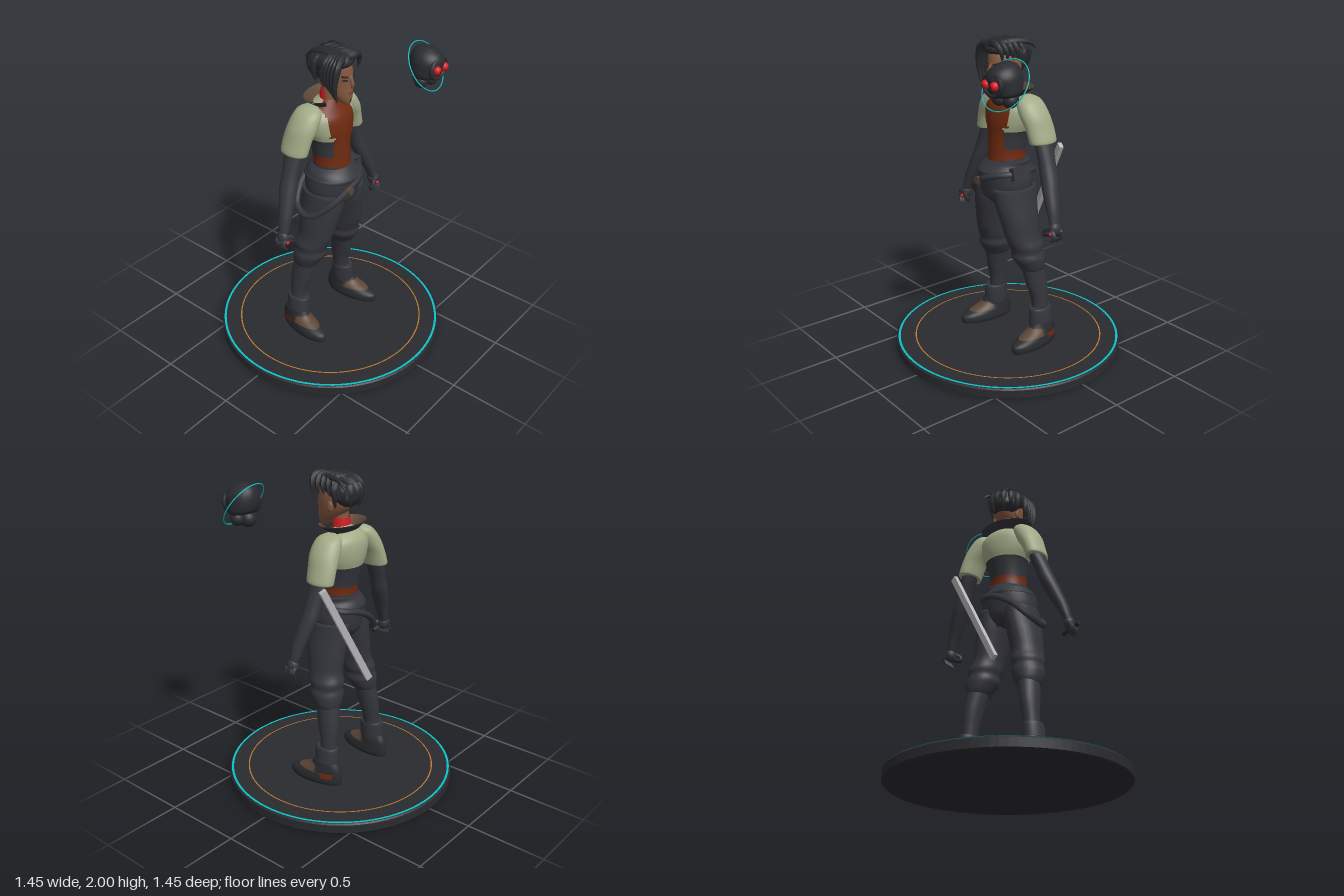
import * as THREE from 'three';

const mat = (name, color) => Object.assign(new THREE.MeshStandardMaterial({ color, side: THREE.DoubleSide }), { name });
const M = {
  cloth: mat('charcoal cloth', 0x35363d), black: mat('black', 0x2a2b2f), rust: mat('rust brown', 0x6e2a10),
  skin: mat('skin', 0x85583f), sage: mat('sage green', 0xa3ab88), tan: mat('dull tan', 0x5c4636),
  steel: mat('pale steel', 0xb8b8ba), red: mat('red', 0xd81c24), cyan: mat('cyan', 0x08c4c8), orange: mat('orange', 0xc07a2c),
};
const V = (x, y, z) => new THREE.Vector3(x, y, z);

function add(parent, name, geo, material, pos = [0, 0, 0], scale = [1, 1, 1]) {
  const m = new THREE.Mesh(geo, material);
  m.name = name;
  m.position.set(...pos);
  m.scale.set(...scale);
  parent.add(m);
  return m;
}

const spline = (a, b, c, d, t) => 0.5 * (2 * b + (c - a) * t + (2 * a - 5 * b + 4 * c - d) * t * t + (3 * b - a - 3 * c + d) * t * t * t);

// Smooth body through horizontal ovals [y, x, z, rx, rz], listed from bottom to top.
// pick(x, y, z, angle) returns the material number of a face.
function loft(sec, { n = 28, sub = 4, pick = () => 0 } = {}) {
  const rows = [], pos = [], lists = [];
  const at = i => sec[Math.min(sec.length - 1, Math.max(0, i))];
  for (let i = 0; i < sec.length - 1; i++)
    for (let k = 0; k < sub; k++)
      rows.push(sec[0].map((_, c) => spline(at(i - 1)[c], at(i)[c], at(i + 1)[c], at(i + 2)[c], k / sub)));
  rows.push(at(sec.length));
  for (const [y, x, z, rx, rz] of rows)
    for (let j = 0; j < n; j++) {
      const a = j / n * Math.PI * 2;
      pos.push(x + rx * Math.sin(a), y, z + rz * Math.cos(a));
    }
  const last = rows.length - 1, c0 = pos.length / 3;
  for (const r of [rows[0], rows[last]]) pos.push(r[1], r[0], r[2]);
  const face = (a, ...idx) => {
    const p = [0, 1, 2].map(c => idx.reduce((s, v) => s + pos[v * 3 + c], 0) / idx.length);
    (lists[pick(...p, a)] ??= []).push(...idx);
  };
  for (let j = 0; j < n; j++) {
    const k = (j + 1) % n, a = (j + 0.5) / n * Math.PI * 2;
    for (let i = 0; i < last; i++) face(a, i * n + j, i * n + k, i * n + n + k, i * n + j, i * n + n + k, i * n + n + j);
    face(a, c0, k, j);
    face(a, c0 + 1, last * n + j, last * n + k);
  }
  const g = new THREE.BufferGeometry();
  g.setAttribute('position', new THREE.Float32BufferAttribute(pos, 3));
  const all = [];
  lists.forEach((l, i) => { g.addGroup(all.length, l.length, i); all.push(...l); });
  g.setIndex(all);
  g.computeVertexNormals();
  return g;
}

// Tube along points whose radius narrows to a tip
function lock(points, r, power = 0.6, sides = 6) {
  const curve = new THREE.CatmullRomCurve3(points.map(p => V(...p))), steps = 10;
  const g = new THREE.TubeGeometry(curve, steps, r, sides), p = g.attributes.position;
  for (let i = 0; i < p.count; i++) {
    const t = Math.floor(i / (sides + 1)) / steps, c = curve.getPointAt(t);
    const v = V(0, 0, 0).fromBufferAttribute(p, i).sub(c).multiplyScalar(Math.pow(1 - t, power)).add(c);
    p.setXYZ(i, v.x, v.y, v.z);
  }
  g.computeVertexNormals();
  return g;
}

// Straight bar between two points
function bar(parent, name, geo, material, a, b) {
  const m = add(parent, name, geo, material), d = V(...b).sub(V(...a));
  m.position.copy(V(...a)).addScaledVector(d, 0.5);
  m.quaternion.setFromUnitVectors(V(0, 1, 0), d.normalize());
  return m;
}

const sphere = r => new THREE.SphereGeometry(r, 20, 14);

function buildBase(g) {
  const profile = [[0, 0], [0.715, 0], [0.724, 0.008], [0.724, 0.06], [0.716, 0.068], [0, 0.068]].map(p => new THREE.Vector2(...p));
  const disc = new THREE.LatheGeometry(profile, 96).toNonIndexed();
  disc.computeVertexNormals();
  add(g, 'baseDisc', disc, M.black);
  for (const [name, a, b, m] of [['outerRing', 0.7, 0.714, M.cyan], ['innerRing', 0.596, 0.604, M.orange]])
    add(g, name, new THREE.RingGeometry(a, b, 96).rotateX(-Math.PI / 2), m, [0, 0.071, 0]);
}

function buildLimbs(g, s) {
  const side = s > 0 ? 'left' : 'right';
  const flip = sec => sec.map(([y, x, ...r]) => [y, s * x, ...r]);
  // Trouser leg with a baggy knee, then a slim shin
  add(g, side + 'Trouser', loft(flip([[0.57, 0.18, -0.05, 0.07, 0.08], [0.6, 0.175, -0.045, 0.085, 0.092], [0.65, 0.165, -0.03, 0.1, 0.108],
    [0.69, 0.16, -0.025, 0.093, 0.104], [0.73, 0.155, -0.02, 0.1, 0.113], [0.79, 0.142, 0, 0.093, 0.116],
    [0.9, 0.122, 0.01, 0.098, 0.131], [1, 0.1, 0.018, 0.1, 0.146], [1.1, 0.085, 0.02, 0.1, 0.15]])), M.cloth);
  add(g, side + 'Shin', loft(flip([[0.2, 0.226, -0.085, 0.046, 0.055], [0.35, 0.213, -0.085, 0.05, 0.056],
    [0.46, 0.2, -0.072, 0.058, 0.072], [0.6, 0.178, -0.05, 0.068, 0.078]])), M.cloth);
  add(g, side + 'BootCuff', loft(flip([[0.17, 0.234, -0.08, 0.058, 0.078], [0.2, 0.232, -0.08, 0.062, 0.08],
    [0.29, 0.225, -0.08, 0.06, 0.079], [0.31, 0.224, -0.08, 0.055, 0.072]])), M.cloth);
  // Shoe with a tan instep and a rust patch on the outer heel
  const shoe = add(g, side + 'Shoe', loft([[0.068, 0, 0.065, 0.066, 0.18], [0.09, 0, 0.065, 0.074, 0.187], [0.12, 0, 0.06, 0.072, 0.183],
    [0.15, 0, 0.025, 0.066, 0.145], [0.18, 0, -0.005, 0.06, 0.107], [0.22, 0, -0.01, 0.054, 0.08]], {
    n: 36, pick: (x, y, z) => y > 0.145 && y < 0.195 && z > 0.04 ? 1 : y > 0.11 && y < 0.15 && s * x > 0.02 && z < 0 && z > -0.08 ? 2 : 0,
  }), [M.black, M.tan, M.rust], [s * 0.24, 0, -0.075]);
  shoe.rotation.y = s * 0.12;
  // Sleeve and gloved arm
  add(g, side + 'Sleeve', loft(flip([[1.395, 0.252, -0.06, 0.056, 0.088], [1.41, 0.253, -0.06, 0.062, 0.093], [1.48, 0.23, -0.055, 0.065, 0.096],
    [1.55, 0.196, -0.045, 0.077, 0.098], [1.61, 0.162, -0.04, 0.075, 0.09], [1.645, 0.145, -0.04, 0.055, 0.07], [1.665, 0.13, -0.04, 0.02, 0.03]])), M.sage);
  add(g, side + 'Arm', loft(flip([[0.94, 0.432, -0.002, 0.026, 0.032], [0.98, 0.42, -0.008, 0.031, 0.036], [1.04, 0.398, -0.015, 0.04, 0.042],
    [1.12, 0.364, -0.03, 0.047, 0.05], [1.2, 0.331, -0.045, 0.052, 0.055], [1.28, 0.302, -0.053, 0.048, 0.054],
    [1.38, 0.265, -0.06, 0.047, 0.06], [1.46, 0.235, -0.06, 0.045, 0.06]])), M.cloth);
  // Hand: palm, four fingers and thumb around a short grip
  add(g, side + 'Palm', sphere(1), M.cloth, [s * 0.438, 0.918, 0], [0.033, 0.045, 0.04]);
  for (let i = 0; i < 4; i++) {
    const z = -0.03 + i * 0.019;
    add(g, side + 'Finger', lock([[s * 0.445, 0.915, z], [s * 0.468, 0.885, z], [s * 0.458, 0.86, z + 0.005], [s * 0.44, 0.842, z + 0.008]], 0.014, 0.3), M.cloth);
  }
  add(g, side + 'Thumb', lock([[s * 0.43, 0.93, 0.02], [s * 0.4, 0.915, 0.035], [s * 0.38, 0.885, 0.04]], 0.015, 0.3), M.cloth);
  bar(g, side + 'Grip', new THREE.CylinderGeometry(0.014, 0.014, 0.135, 10), M.black, [s * 0.375, 0.875, 0.03], [s * 0.5, 0.905, 0.0]);
  add(g, side + 'GripLight', sphere(0.013), M.red, [s * 0.44, 0.895, 0.034]);
}

function buildTorso(g) {
  // Rust shirt showing between the open jacket fronts and around the waist
  const open = y => y > 1.48 ? 0.108 : y > 1.34 ? 0.08 : 0.1 * Math.max(0, (y - 1.2) / 0.1);
  add(g, 'torso', loft([[1.2, 0, 0.01, 0.125, 0.12], [1.25, 0, 0.012, 0.118, 0.117], [1.32, 0, 0.008, 0.115, 0.115], [1.42, 0, -0.005, 0.13, 0.125],
    [1.5, 0, -0.014, 0.163, 0.135], [1.58, 0, -0.022, 0.175, 0.13], [1.63, 0, -0.03, 0.14, 0.105], [1.67, 0, -0.02, 0.075, 0.068], [1.69, 0, -0.015, 0.045, 0.05]], {
    n: 72, sub: 6, pick: (x, y, z) => z > 0 && Math.abs(x) < open(y) ? 0 : y > 1.45 ? 1 : y > 1.315 ? 2 : y > 1.27 ? 0 : 2,
  }), [M.rust, M.sage, M.cloth]);
  add(g, 'hips', loft([[0.99, 0, 0.015, 0.08, 0.1], [1.04, 0, 0.02, 0.15, 0.145], [1.1, 0, 0.02, 0.178, 0.158], [1.16, 0, 0.02, 0.178, 0.166],
    [1.2, 0, 0.02, 0.17, 0.166], [1.235, 0, 0.015, 0.15, 0.14], [1.26, 0.02, 0.008, 0.133, 0.123]], { n: 36 }), M.cloth);
  // Belt, slung strap, buckle and hip pouch
  add(g, 'belt', new THREE.TorusGeometry(1, 0.08, 6, 40).rotateX(Math.PI / 2), M.cloth, [0, 1.19, 0.02], [0.165, 0.22, 0.16]);
  const path = new THREE.CatmullRomCurve3([[0.15, 1.2, 0.08], [0.06, 1.18, 0.175], [-0.06, 1.13, 0.18], [-0.17, 1.05, 0.13], [-0.235, 0.97, 0.02],
    [-0.21, 1.0, -0.09], [-0.12, 1.09, -0.14], [0, 1.16, -0.15], [0.12, 1.19, -0.1]].map(p => V(...p)), true);
  add(g, 'slungStrap', new THREE.TubeGeometry(path, 60, 0.021, 6, true), M.cloth);
  add(g, 'buckle', new THREE.CylinderGeometry(0.025, 0.025, 0.02, 12).rotateX(Math.PI / 2), M.tan, [-0.05, 1.135, 0.197]);
  add(g, 'hipPouch', new THREE.BoxGeometry(0.04, 0.08, 0.12), M.cloth, [0.16, 1.2, 0.04]).rotation.z = 0.2;
  // Flared collar, open at the front
  for (const [name, d, m] of [['collarOutside', 0, M.cloth], ['collarLining', -0.006, M.tan]]) {
    const profile = [[0.075, 1.63], [0.1, 1.65], [0.14, 1.68], [0.178, 1.705]].map(([r, y]) => new THREE.Vector2(r + d, y - d * 0.6));
    add(g, name, new THREE.LatheGeometry(profile, 24, 0.75, Math.PI * 2 - 1.5), m, [0, 0, -0.02], [1, 1, 0.66]);
  }
}

function buildHead(g) {
  add(g, 'neck', new THREE.CylinderGeometry(0.045, 0.05, 0.17, 20), M.skin, [0, 1.72, -0.005]);
  add(g, 'neckBand', new THREE.CylinderGeometry(0.054, 0.058, 0.07, 20, 1, true, Math.PI * 0.42, Math.PI * 1.16), M.red, [0, 1.7, -0.008]);
  add(g, 'face', loft([[1.67, 0.012, 0.108, 0.02, 0.022], [1.695, 0.012, 0.09, 0.042, 0.05], [1.74, 0.012, 0.06, 0.066, 0.083],
    [1.8, 0.012, 0.03, 0.08, 0.112], [1.86, 0.01, 0.018, 0.086, 0.124], [1.92, 0.005, 0.01, 0.08, 0.118], [1.96, 0, 0, 0.05, 0.08]]), M.skin);
  add(g, 'nose', lock([[0.012, 1.855, 0.132], [0.012, 1.825, 0.145], [0.012, 1.79, 0.155], [0.012, 1.783, 0.14]], 0.013, 0.15), M.skin);
  add(g, 'mouth', new THREE.BoxGeometry(0.036, 0.005, 0.006), M.rust, [0.012, 1.745, 0.141]);
  add(g, 'beard', new THREE.BoxGeometry(0.008, 0.03, 0.006), M.black, [0.012, 1.7, 0.138]);
  for (const s of [-1, 1]) {
    add(g, 'eye', new THREE.BoxGeometry(0.03, 0.01, 0.008), M.black, [0.012 + s * 0.038, 1.83, 0.129]).rotation.set(0, s * 0.4, s * 0.12);
    add(g, 'eyebrow', new THREE.BoxGeometry(0.042, 0.01, 0.009), M.black, [0.012 + s * 0.04, 1.853, 0.13]).rotation.set(0, s * 0.4, s * 0.25);
    add(g, 'ear', sphere(1), M.skin, [0.012 + s * 0.085, 1.81, 0.0], [0.012, 0.034, 0.022]);
  }
  add(g, 'hairCap', loft([[1.81, 0, -0.045, 0.06, 0.055], [1.85, 0, -0.04, 0.09, 0.088], [1.885, 0, -0.015, 0.098, 0.112],
    [1.92, -0.005, 0.012, 0.102, 0.137], [1.955, -0.005, 0.022, 0.09, 0.125], [1.985, 0, 0.025, 0.055, 0.085], [1.993, 0, 0.025, 0.02, 0.03]]), M.black);
  // Long fringe over one side of the face
  for (let i = 0; i < 5; i++)
    add(g, 'fringeLock', lock([[-0.01, 1.965, 0.1 - i * 0.015], [-0.085, 1.95, 0.13 - i * 0.02], [-0.115, 1.87, 0.13 - i * 0.025],
      [-0.115 + i * 0.004, 1.79, 0.125 - i * 0.02], [-0.085 - i * 0.006, 1.705 + i * 0.025, 0.125 - i * 0.02]], 0.03), M.black);
  // Short swept locks on the other side and the crown
  for (let i = 0; i < 5; i++) {
    const z = 0.12 - i * 0.04;
    add(g, 'sweptLock', lock([[0, 1.965, z], [0.06, 1.972, z + 0.02], [0.1, 1.93, z + 0.01], [0.1, 1.87, z]], 0.03), M.black);
    add(g, 'crownLock', lock([[-0.05 + i * 0.025, 1.96, 0.1], [-0.05 + i * 0.03, 1.975, 0.02], [-0.06 + i * 0.04, 1.965, -0.08], [-0.07 + i * 0.045, 1.92 + i % 2 * 0.03, -0.13]], 0.027), M.black);
  }
  // Ragged locks at the back
  for (let i = 0; i < 7; i++) {
    const a = (i - 3) * 0.42, x = Math.sin(a), z = -Math.cos(a);
    add(g, 'backLock', lock([[x * 0.06, 1.95, z * 0.07], [x * 0.1, 1.92, z * 0.12], [x * 0.105, 1.87, z * 0.13], [x * 0.09, 1.8 + i % 2 * 0.025, z * 0.115]], 0.03), M.black);
  }
}

function buildDrone(g) {
  const d = new THREE.Group();
  d.name = 'drone';
  d.position.set(0.43, 1.83, 0.365);
  g.add(d);
  add(d, 'hood', loft([[-0.05, 0, 0.005, 0.085, 0.07], [-0.03, 0, 0.005, 0.1, 0.09], [0.01, 0, 0, 0.1, 0.1], [0.06, 0, 0, 0.093, 0.102],
    [0.1, 0, -0.005, 0.065, 0.08], [0.124, 0, -0.01, 0.022, 0.03]]), M.black).rotation.x = 0.15;
  add(d, 'hoodRim', new THREE.TorusGeometry(0.066, 0.014, 8, 28), M.black, [0, 0.01, 0.085], [1.1, 0.9, 1]);
  add(d, 'rearLobe', sphere(0.05), M.black, [0, -0.08, -0.03]);
  add(d, 'frontLobe', sphere(0.036), M.black, [0, -0.07, 0.04]);
  for (const s of [-1, 1]) {
    add(d, 'sideLobe', sphere(0.042), M.black, [s * 0.05, -0.075, 0.005]);
    add(d, 'droneEye', sphere(0.026), M.red, [s * 0.037, 0.012, 0.1]);
    add(d, 'pupil', sphere(0.008), M.black, [s * 0.037, 0.012, 0.12]);
  }
  add(d, 'orbitRing', new THREE.TorusGeometry(0.154, 0.0035, 6, 72), M.cyan).rotation.set(-0.6, 0.1, 0);
}

export function createModel() {
  const g = new THREE.Group();
  g.name = 'figureOnBase';
  buildBase(g);
  for (const s of [1, -1]) buildLimbs(g, s);
  buildTorso(g);
  buildHead(g);
  // Blade slung behind the hips
  bar(g, 'blade', new THREE.BoxGeometry(0.042, 0.755, 0.026), M.steel, [0.32, 1.375, -0.138], [-0.032, 0.73, -0.2]);
  buildDrone(g);
  return g;
}
